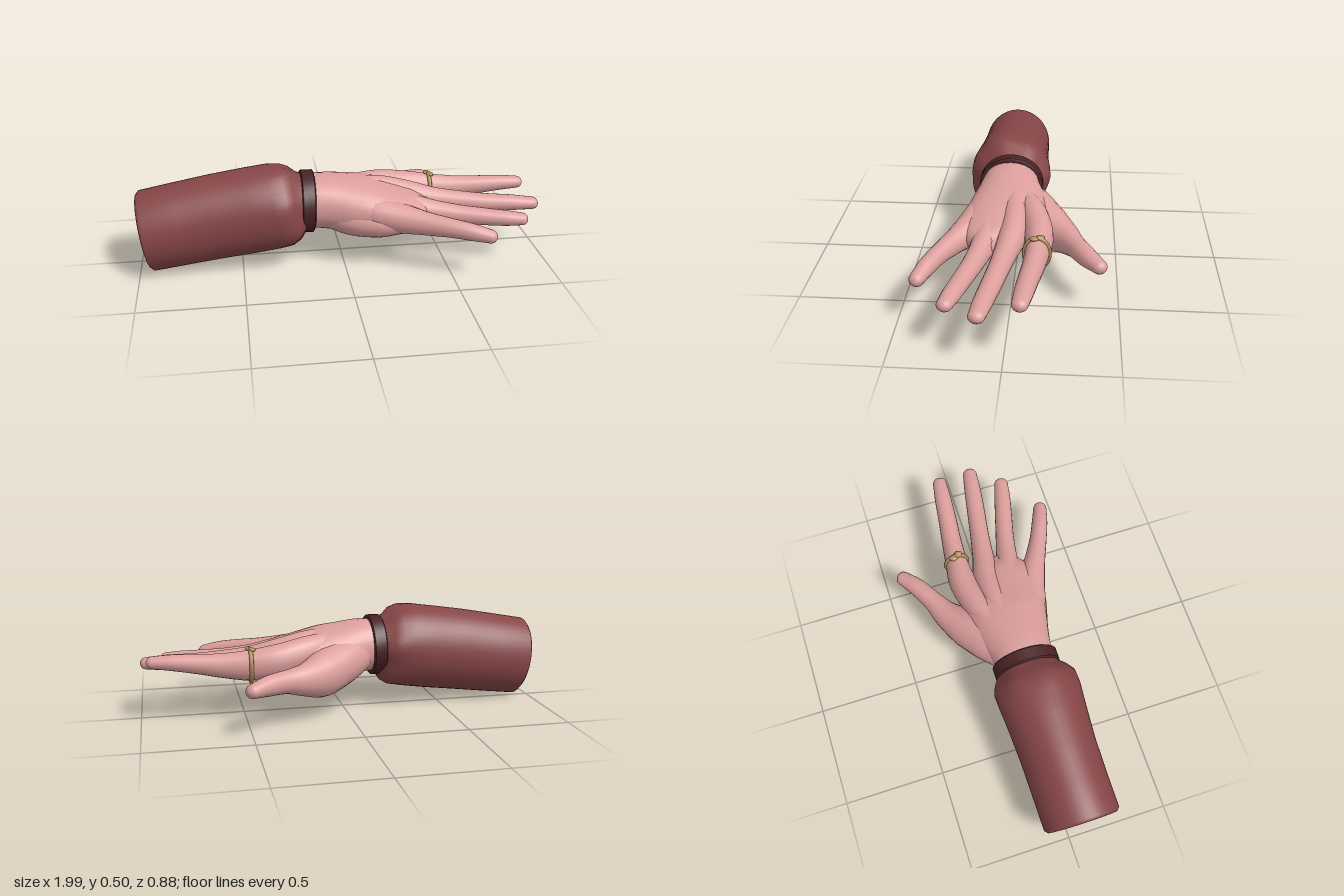
import * as THREE from 'three';

// Joins rings into a skin. Row: [x, y, z, halfWidth, halfHeight, ripple]
// A fixed axis may be given; otherwise each ring is square to the path.
function loft(rows, sides, axis, power = 1) {
  const up = new THREE.Vector3(0, 1, 0);
  const pos = [], index = [];
  const centre = (i) => new THREE.Vector3(...rows[i].slice(0, 3));
  rows.forEach((row, i) => {
    const t = axis ? axis.clone() : centre(Math.min(i + 1, rows.length - 1)).sub(centre(Math.max(i - 1, 0)));
    t.normalize();
    const s = up.clone().cross(t).normalize();
    const u = t.clone().cross(s);
    for (let j = 0; j < sides; j++) {
      const a = (j / sides) * Math.PI * 2;
      const bend = (v) => Math.sign(v) * Math.abs(v) ** power;
      const k = 1 + (row[5] || 0) * (Math.sin(a * 7 + 1) + 0.6 * Math.sin(a * 4));
      const p = centre(i)
        .addScaledVector(s, row[3] * k * bend(Math.cos(a)))
        .addScaledVector(u, row[4] * k * bend(Math.sin(a)));
      pos.push(p.x, p.y, p.z);
    }
  });
  for (let i = 0; i < rows.length - 1; i++) {
    for (let j = 0; j < sides; j++) {
      const a = i * sides + j, b = i * sides + ((j + 1) % sides);
      index.push(a, b, a + sides, b, b + sides, a + sides);
    }
  }
  const g = new THREE.BufferGeometry();
  g.setAttribute('position', new THREE.Float32BufferAttribute(pos, 3));
  g.setIndex(index);
  g.computeVertexNormals();
  return g;
}

// Smooths the rows along a curve and closes the far end with a round tip
function limb(rows, sides = 18, power = 1) {
  const path = new THREE.CatmullRomCurve3(rows.map((r) => new THREE.Vector3(r[0], r[1], r[2])));
  const size = new THREE.CatmullRomCurve3(rows.map((r) => new THREE.Vector3(r[3], r[4], 0)));
  const out = [], n = (rows.length - 1) * 4;
  for (let i = 0; i <= n; i++) {
    const p = path.getPoint(i / n), q = size.getPoint(i / n);
    out.push([p.x, p.y, p.z, q.x, q.y]);
  }
  const end = path.getPoint(1), dir = path.getTangent(1), q = size.getPoint(1);
  for (let i = 1; i <= 5; i++) {
    const a = (i / 5) * Math.PI / 2, c = Math.max(Math.cos(a), 0.001);
    const p = end.clone().addScaledVector(dir, Math.sin(a) * Math.min(q.x, q.y));
    out.push([p.x, p.y, p.z, q.x * c, q.y * c]);
  }
  return loft(out, sides, null, power);
}

export function createModel() {
  const model = new THREE.Group();
  const material = (name, color) => {
    const m = new THREE.MeshStandardMaterial({ color });
    m.name = name;
    return m;
  };
  const skin = material('skin', 0xdc9f9c);
  const cloth = material('sleeve cloth', 0x874647);
  const band = material('dark cuff', 0x4a2325);
  const gold = material('gold', 0xae8d5a);
  const add = (name, geometry, mat, parent = model) => {
    const mesh = new THREE.Mesh(geometry, mat);
    mesh.name = name;
    parent.add(mesh);
    return mesh;
  };

  // Sleeve: recessed end, thick rim, full forearm, gathers tucked under the cuff
  const sleeveAxis = new THREE.Vector3(1, 0.15, 0);
  add('sleeve', loft([
    [-0.92, 0.205, 0.065, 0.001, 0.001],
    [-0.92, 0.205, 0.065, 0.11, 0.12],
    [-0.92, 0.205, 0.065, 0.11, 0.12],
    [-0.96, 0.2, 0.065, 0.118, 0.128],
    [-0.96, 0.2, 0.065, 0.118, 0.128],
    [-0.97, 0.199, 0.065, 0.172, 0.186],
    [-0.955, 0.2, 0.065, 0.187, 0.202],
    [-0.8, 0.224, 0.062, 0.187, 0.207],
    [-0.62, 0.252, 0.06, 0.189, 0.212],
    [-0.45, 0.275, 0.06, 0.199, 0.214],
    [-0.34, 0.29, 0.06, 0.208, 0.213, 0.006],
    [-0.275, 0.294, 0.058, 0.206, 0.206, 0.02],
    [-0.235, 0.297, 0.052, 0.182, 0.186, 0.035],
    [-0.205, 0.3, 0.046, 0.157, 0.153, 0.025],
    [-0.17, 0.302, 0.045, 0.145, 0.135],
  ], 42, sleeveAxis), cloth);

  // Cuff band
  const ring = (x, rz, ry) => [x, 0.302, 0.045, rz, ry];
  add('cuff', loft([
    ring(-0.208, 0.135, 0.125), ring(-0.208, 0.158, 0.147), ring(-0.203, 0.164, 0.153),
    ring(-0.203, 0.164, 0.153), ring(-0.147, 0.164, 0.153),
    ring(-0.147, 0.164, 0.153), ring(-0.142, 0.158, 0.147), ring(-0.142, 0.135, 0.125),
  ], 36, new THREE.Vector3(1, -0.03, 0)), band);

  // Palm and the pad on its underside
  const hand = new THREE.Group();
  hand.name = 'hand';
  model.add(hand);
  add('palm', limb([
    [-0.18, 0.305, 0.045, 0.14, 0.13],
    [-0.1, 0.303, 0.045, 0.152, 0.133],
    [0, 0.29, 0.04, 0.18, 0.133],
    [0.1, 0.278, 0.04, 0.2, 0.13],
    [0.2, 0.267, 0.045, 0.212, 0.113],
    [0.28, 0.262, 0.045, 0.208, 0.095],
    [0.34, 0.262, 0.03, 0.175, 0.075],
    [0.38, 0.262, 0.01, 0.125, 0.045],
  ], 28, 0.93), skin, hand);
  add('heelPad', limb([
    [-0.1, 0.275, 0.08, 0.08, 0.08],
    [0.05, 0.24, 0.13, 0.1, 0.09],
    [0.18, 0.23, 0.175, 0.093, 0.078],
    [0.27, 0.232, 0.195, 0.075, 0.06],
  ]), skin, hand);

  // Fingers start inside the palm, so their bones ridge the back of the hand
  const fingers = {
    indexFinger: [[0.02, 0.33, -0.02, 0.05, 0.07], [0.2, 0.31, -0.09, 0.068, 0.08], [0.34, 0.282, -0.12, 0.07, 0.083],
      [0.47, 0.268, -0.118, 0.058, 0.076], [0.6, 0.27, -0.107, 0.051, 0.06], [0.72, 0.28, -0.093, 0.047, 0.048],
      [0.84, 0.29, -0.081, 0.043, 0.039], [0.935, 0.293, -0.071, 0.036, 0.03]],
    middleFinger: [[0.02, 0.345, 0.02, 0.05, 0.07], [0.2, 0.322, 0, 0.064, 0.073], [0.34, 0.286, 0.002, 0.067, 0.074],
      [0.46, 0.266, 0.022, 0.056, 0.062], [0.6, 0.255, 0.045, 0.049, 0.053], [0.73, 0.25, 0.067, 0.047, 0.045],
      [0.86, 0.25, 0.088, 0.044, 0.039], [0.965, 0.248, 0.104, 0.037, 0.03]],
    ringFinger: [[0.02, 0.33, 0.07, 0.05, 0.065], [0.19, 0.303, 0.098, 0.065, 0.072], [0.32, 0.27, 0.118, 0.067, 0.072],
      [0.45, 0.25, 0.145, 0.054, 0.058], [0.57, 0.24, 0.174, 0.047, 0.049], [0.68, 0.236, 0.203, 0.045, 0.043],
      [0.79, 0.233, 0.232, 0.042, 0.038], [0.866, 0.232, 0.25, 0.036, 0.03]],
    littleFinger: [[0.0, 0.3, 0.12, 0.06, 0.065], [0.15, 0.278, 0.177, 0.076, 0.077], [0.27, 0.26, 0.222, 0.071, 0.073],
      [0.38, 0.252, 0.28, 0.053, 0.058], [0.49, 0.247, 0.335, 0.044, 0.047], [0.58, 0.238, 0.373, 0.041, 0.042],
      [0.663, 0.224, 0.403, 0.035, 0.033]],
    thumb: [[-0.1, 0.29, 0.01, 0.095, 0.095], [0.03, 0.25, -0.075, 0.12, 0.115], [0.14, 0.217, -0.172, 0.1, 0.112],
      [0.235, 0.217, -0.247, 0.069, 0.08], [0.33, 0.225, -0.296, 0.05, 0.056], [0.42, 0.225, -0.347, 0.046, 0.049],
      [0.495, 0.22, -0.403, 0.037, 0.034]],
  };
  for (const [name, rows] of Object.entries(fingers)) add(name, limb(rows), skin, hand);

  // Gold ring with a small knot on top
  const jewel = new THREE.Group();
  jewel.name = 'fingerRing';
  jewel.position.set(0.475, 0.268, -0.118);
  model.add(jewel);
  const hoop = add('ringHoop', new THREE.TorusGeometry(1, 0.15, 8, 32), gold, jewel);
  hoop.rotation.y = Math.PI / 2;
  hoop.scale.set(0.059, 0.078, 0.07);
  for (const side of [-1, 1]) {
    const lobe = add('ringKnot', new THREE.SphereGeometry(1, 10, 8), gold, jewel);
    lobe.position.set(side * 0.008, 0.079, side * 0.014);
    lobe.scale.set(0.016, 0.01, 0.022);
  }
  return model;
}
